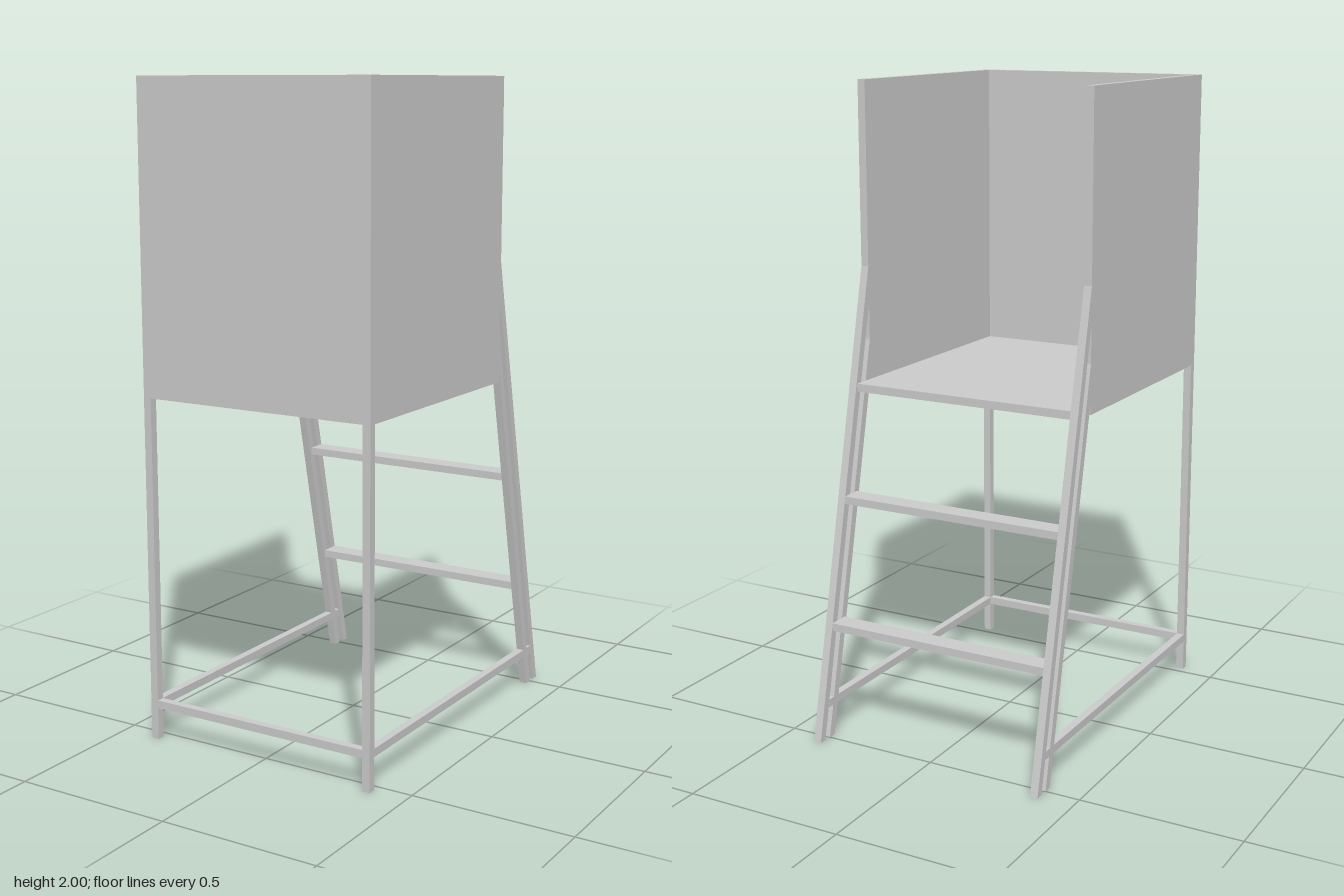
import * as THREE from 'three';

const W = 0.39, T = 0.025;            // half width, board thickness
const FRONT = 0.55, BACK = -0.23;     // front face and rear edge of the side panels
const BASE = 1.065, TOP = 2;          // cabin bottom and top
const SLOPE = 0.222;                  // lean of the ladder rails
const material = new THREE.MeshStandardMaterial({ color: 0xcccccc });

export function createModel() {
  const model = new THREE.Group();

  const add = (name, geometry) => {
    const mesh = new THREE.Mesh(geometry, material);
    mesh.name = name;
    model.add(mesh);
  };

  // Box given by its limits
  const box = (name, x0, x1, y0, y1, z0, z1) => {
    const g = new THREE.BoxGeometry(x1 - x0, y1 - y0, z1 - z0);
    add(name, g.translate((x0 + x1) / 2, (y0 + y1) / 2, (z0 + z1) / 2));
  };

  // Side profile of [z, y] points, one board thick, with its outer face at x
  const board = (name, x, points) => {
    const shape = new THREE.Shape(points.map(([z, y]) => new THREE.Vector2(z, y)));
    const g = new THREE.ExtrudeGeometry(shape, { depth: T, bevelEnabled: false });
    add(name, g.rotateY(-Math.PI / 2).translate(x, 0, 0));
  };

  // Position on a sloping edge that meets the ground at z0
  const zAt = (z0, y) => z0 + SLOPE * y;
  const yAt = (z0, z) => (z - z0) / SLOPE;

  const rails = [-0.475, -0.525];     // ground position of each rail's front edge
  const barY = [0.1, 0.125];

  for (const [side, x] of [['left', W], ['right', -W + T]]) {
    box(side + 'SidePanel', x - T, x, BASE, TOP, BACK, FRONT - T);
    box(side + 'FrontLeg', x - T, x, 0, BASE, FRONT - T, FRONT);

    // Paired leaning rails, cut off upright against the side panel
    rails.forEach((z, i) => board(side + (i ? 'OuterRail' : 'InnerRail'), x, [
      [z, 0], [BACK, yAt(z, BACK)], [BACK, yAt(z - T, BACK)], [z - T, 0],
    ]));

    // Low side bar, then its short continuation between the rails
    const [y0, y1] = barY;
    board(side + 'LowerBar', x, [
      [FRONT - T, y0], [FRONT - T, y1], [zAt(rails[0], y1), y1], [zAt(rails[0], y0), y0],
    ]);
    const gap = rails[0] - T;
    board(side + 'RailSpacer', x, [
      [zAt(gap, y0), y0], [zAt(gap, y1), y1], [zAt(rails[1], y1), y1], [zAt(rails[1], y0), y0],
    ]);
  }

  // Cabin front and floor
  box('frontPanel', -W, W, BASE, TOP, FRONT - T, FRONT);
  box('floor', -W + T, W - T, BASE, BASE + T, -0.305, FRONT - T);

  // Front bar and ladder treads
  box('frontLowerBar', -W + T, W - T, ...barY, FRONT - T, FRONT);
  box('upperTread', -W + T, W - T, 0.728, 0.752, -0.386, -0.32);
  box('lowerTread', -W + T, W - T, 0.343, 0.367, -0.47, -0.404);

  return model;
}
